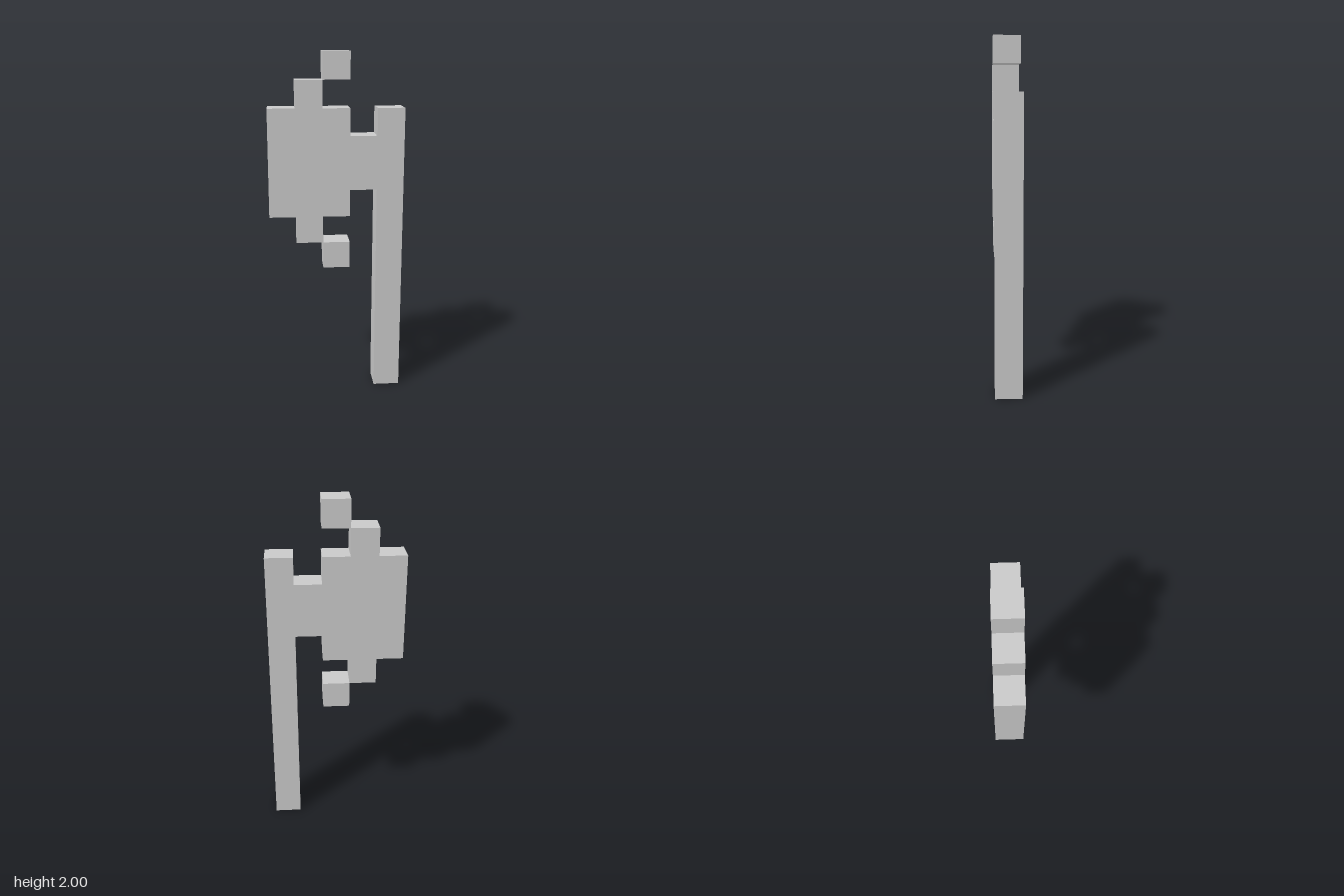
import * as THREE from 'three';

const U = 2 / 13; // one block; the axe is 5 blocks wide and 13 tall

export function createModel() {
  const axe = new THREE.Group();
  axe.name = 'blockAxe';
  const material = new THREE.MeshStandardMaterial({ color: 0xcccccc, flatShading: true });

  const add = (name, geometry) => {
    const mesh = new THREE.Mesh(geometry, material);
    mesh.name = name;
    axe.add(mesh);
    return mesh;
  };

  // One-block-wide column: x is its centre, from bottom to top, all in blocks
  const addColumn = (name, x, bottom, top) =>
    add(name, new THREE.BoxGeometry(U, (top - bottom) * U, U))
      .position.set(x * U, ((bottom + top) / 2) * U, 0);

  // Long upright handle
  addColumn('handle', 2, 0, 11);

  // Stepped axe head with the neck that meets the handle; upper half
  // outline, mirrored about the head's middle line
  const middle = 9;
  const upper = [
    [-2.5, 2], [-1.5, 2], [-1.5, 3], [-0.5, 3], [-0.5, 2],
    [0.5, 2], [0.5, 1], [1.5, 1],
  ];
  const lower = upper.map(([x, y]) => [x, -y]).reverse();
  const outline = [...upper, ...lower].map(
    ([x, y]) => new THREE.Vector2(x * U, (middle + y) * U));
  const head = new THREE.ExtrudeGeometry(new THREE.Shape(outline), { depth: U, bevelEnabled: false });
  head.translate(0, 0, -U / 2);
  add('axeHead', head);

  // Single blocks at the blade's two tips, touching the head only at an edge
  addColumn('upperTip', 0, 12, 13);
  addColumn('lowerTip', 0, 5, 6);

  return axe;
}
